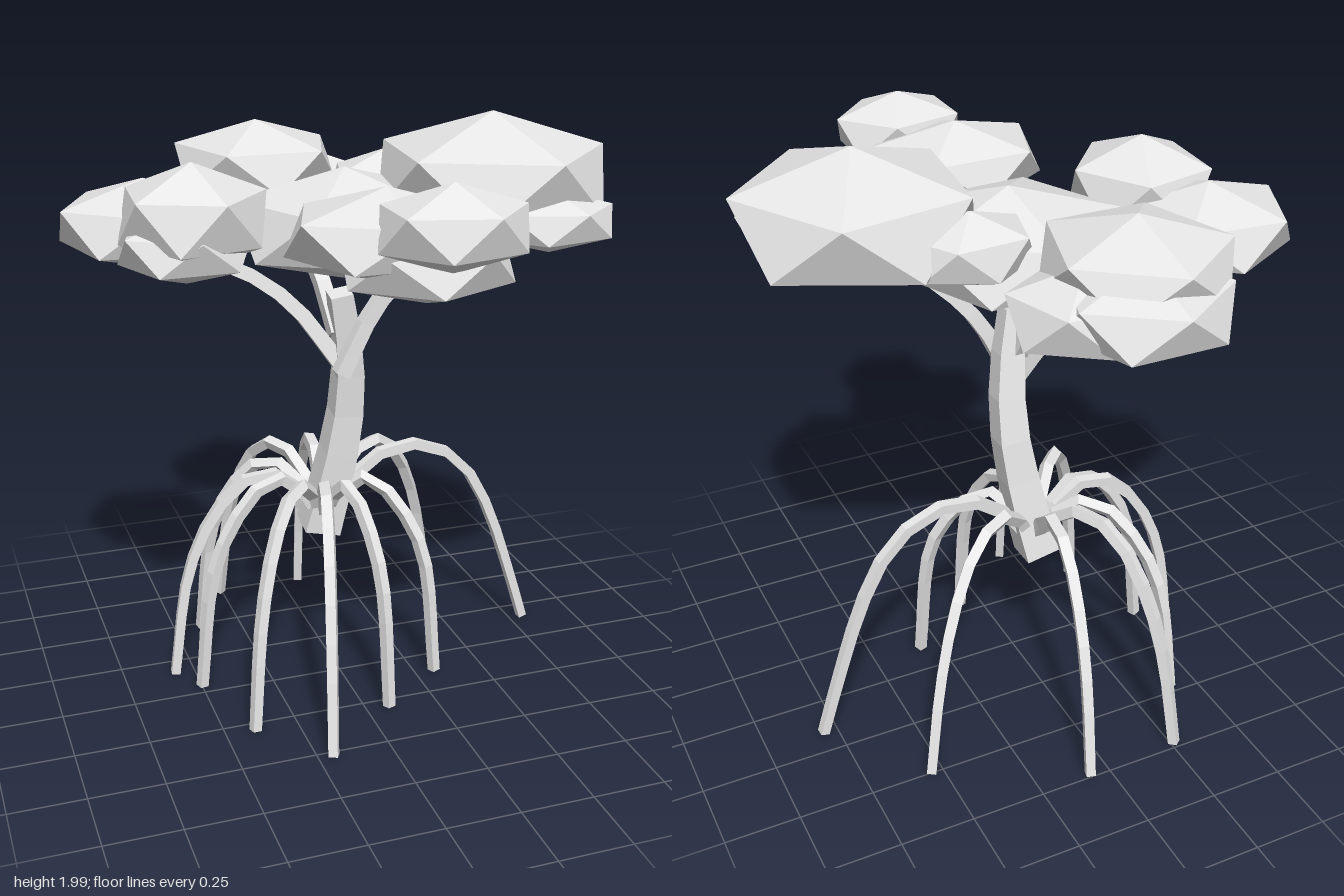
import * as THREE from 'three';

const grey = new THREE.MeshStandardMaterial({ color: 0xe7e7e7 });
grey.name = 'light grey';

// Tapered, capped, faceted limb swept along a smooth path
function limb(name, points, r0, r1, sides, segments, twist = 0) {
  const curve = new THREE.CatmullRomCurve3(points.map(p => new THREE.Vector3(...p)));
  const frames = curve.computeFrenetFrames(segments, false);
  const pos = [], index = [];
  for (let i = 0; i <= segments; i++) {
    const c = curve.getPointAt(i / segments);
    const r = THREE.MathUtils.lerp(r0, r1, i / segments);
    for (let j = 0; j < sides; j++) {
      const a = twist + j / sides * Math.PI * 2;
      const v = c.clone()
        .addScaledVector(frames.normals[i], Math.cos(a) * r)
        .addScaledVector(frames.binormals[i], Math.sin(a) * r);
      pos.push(v.x, Math.max(v.y, 0), v.z);
    }
  }
  for (let i = 0; i < segments; i++) {
    for (let j = 0; j < sides; j++) {
      const a = i * sides + j, b = i * sides + (j + 1) % sides;
      index.push(a, b, a + sides, b, b + sides, a + sides);
    }
  }
  const end = segments * sides;
  for (let j = 1; j < sides - 1; j++) {
    index.push(0, j + 1, j, end, end + j, end + j + 1);
  }
  const indexed = new THREE.BufferGeometry();
  indexed.setAttribute('position', new THREE.Float32BufferAttribute(pos, 3));
  indexed.setIndex(index);
  const geometry = indexed.toNonIndexed();
  geometry.computeVertexNormals();
  const mesh = new THREE.Mesh(geometry, grey);
  mesh.name = name;
  return mesh;
}

// Squashed icosahedron standing on a corner; rx, rz are the ring's reach
function leafClump(x, y, z, rx, h, rz, degrees) {
  const g = new THREE.IcosahedronGeometry(1, 0);
  g.rotateZ(Math.atan(2 / (1 + Math.sqrt(5))));
  g.rotateY(Math.PI - THREE.MathUtils.degToRad(degrees));
  g.scale(rx / 0.88, h, rz / 0.88);
  g.translate(x, y, z);
  g.computeVertexNormals();
  const mesh = new THREE.Mesh(g, grey);
  mesh.name = 'leafClump';
  return mesh;
}

// Stilt root arching from the trunk foot to the ground; short ones drop steeper
function stiltRoot(x, z) {
  const bx = -0.02, bz = -0.13;
  const dx = x - bx, dz = z - bz;
  const reach = Math.hypot(dx, dz);
  const peak = 0.67 + 0.15 * reach;
  const profile = [[0.04, 0.58], [0.18, peak - 0.06], [0.37, peak], [0.5, peak - 0.02],
    [0.64, peak - 0.085], [0.78, peak - 0.06 - 0.25 * reach], [0.9, 0.61 - 0.42 * reach], [1, 0.01]];
  const points = profile.map(([t, y]) => [bx + dx * t, y, bz + dz * t]);
  return limb('stiltRoot', points, 0.027, 0.022, 4, 10, Math.PI / 4);
}

export function createModel() {
  const model = new THREE.Group();
  model.name = 'stiltRootTree';

  // Trunk
  model.add(limb('trunk', [[-0.03, 0.52, -0.145], [0.02, 0.75, -0.115], [0.055, 1.0, -0.09],
    [0.048, 1.2, -0.06], [0.01, 1.41, -0.03]], 0.092, 0.054, 4, 6, 0.75));

  // Branches: right, left and back
  const branches = [
    [[0, 1.14, 0.015], [0.12, 1.37, 0.025], [0.28, 1.54, 0.045], [0.42, 1.64, 0.06]],
    [[0.02, 1.15, -0.04], [-0.15, 1.38, -0.09], [-0.35, 1.51, -0.13], [-0.58, 1.55, -0.16]],
    [[0.01, 1.26, -0.06], [-0.02, 1.45, -0.17], [-0.05, 1.57, -0.32], [-0.1, 1.64, -0.52]],
  ];
  for (const path of branches) model.add(limb('branch', path, 0.037, 0.028, 4, 7, Math.PI / 4));

  // Stilt roots, by where each foot meets the ground
  const feet = [[0.8, -0.16], [0.54, -0.5], [0.07, -0.74], [-0.26, -0.73], [-0.4, -0.47],
    [-0.57, -0.16], [-0.5, -0.04], [-0.4, 0.3], [-0.2, 0.53], [0.08, 0.3], [0.32, 0.12]];
  for (const [x, z] of feet) model.add(stiltRoot(x, z));

  // Foliage: centre, half width, half height, half depth, turn
  const clumps = [
    [0.5, 1.785, 0.07, 0.375, 0.215, 0.38, -65],
    [0.025, 1.645, -0.025, 0.36, 0.185, 0.335, 50],
    [-0.12, 1.76, -0.57, 0.28, 0.15, 0.295, -90],
    [-0.08, 1.68, -0.69, 0.26, 0.14, 0.25, -90],
    [0.06, 1.66, -0.6, 0.23, 0.14, 0.21, 20],
    [-0.6, 1.655, -0.2, 0.28, 0.145, 0.265, -49],
    [-0.5, 1.72, 0.06, 0.23, 0.17, 0.24, 5],
    [-0.53, 1.63, 0.08, 0.21, 0.115, 0.2, 160],
    [-0.03, 1.73, 0.51, 0.3, 0.14, 0.25, 16],
    [0.08, 1.65, 0.56, 0.26, 0.125, 0.23, -10],
    [0.08, 1.79, 0.75, 0.22, 0.13, 0.185, 1],
    [0.59, 1.685, 0.33, 0.21, 0.1, 0.16, 75],
    [0.24, 1.73, -0.21, 0.2, 0.12, 0.16, -60],
  ];
  for (const c of clumps) model.add(leafClump(...c));

  return model;
}
